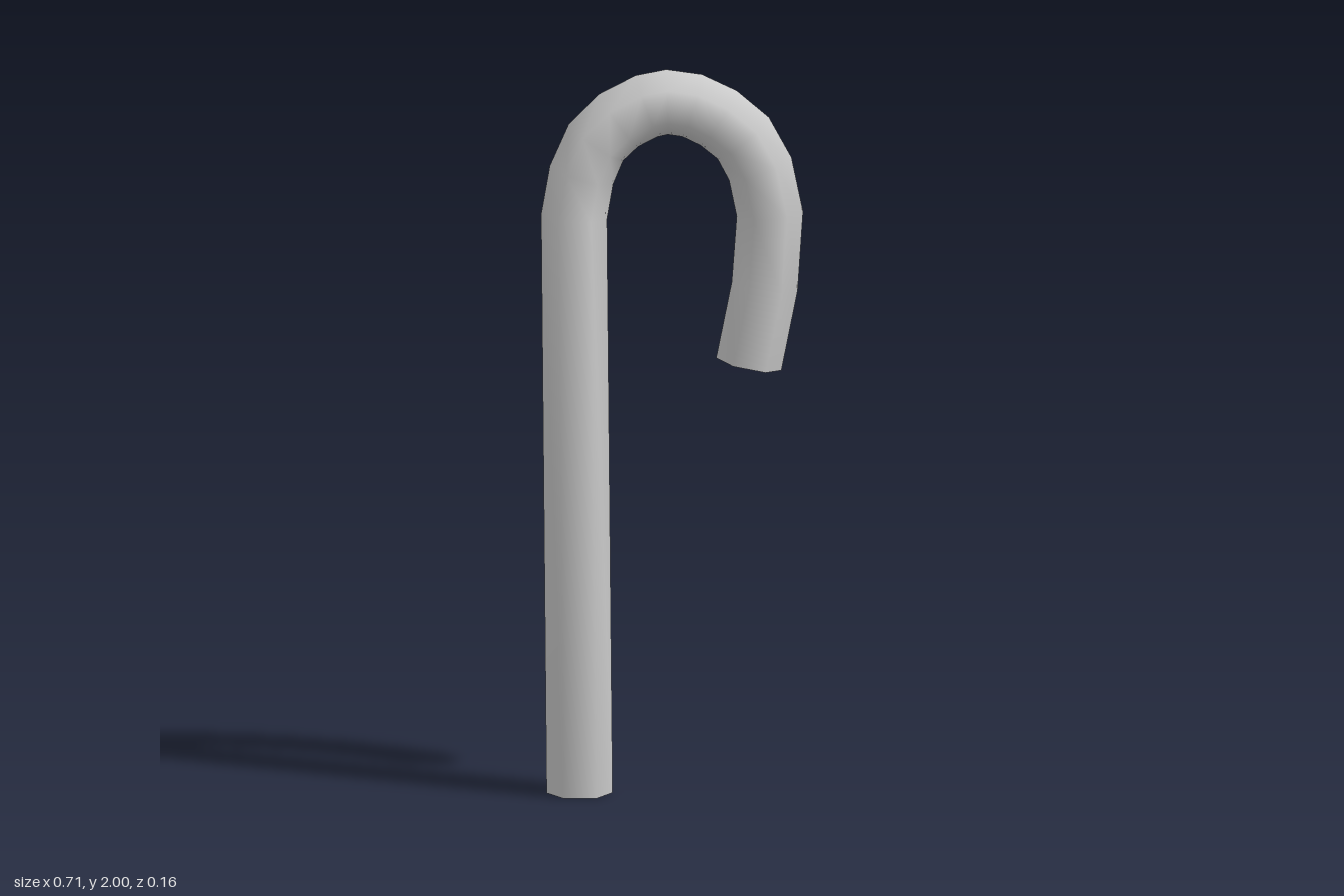
import * as THREE from 'three';

const SIDES = 6;
const RADIUS = 0.09;

// Centre line of the cane, from the foot to the tip of the hook
const PATH = [
  [-0.252, 0, -0.004], [-0.267, 1.595, 0.002], [-0.247, 1.71, 0.003], [-0.208, 1.8, 0.003],
  [-0.146, 1.861, 0.004], [-0.07, 1.9, 0.004], [-0.015, 1.911, 0.004], [0.053, 1.901, 0.004],
  [0.125, 1.866, 0.003], [0.192, 1.81, 0.003], [0.238, 1.725, 0.003], [0.264, 1.6, 0.003],
  [0.25, 1.4, 0.003], [0.207, 1.185, 0.003],
].map(p => new THREE.Vector3(...p));

// Sweeps a hexagon along a path in the xy plane, with flat caps at both ends
function sweepHexagon(path) {
  const zAxis = new THREE.Vector3(0, 0, 1);
  const last = path.length - 1;
  const positions = [];
  const index = [];

  const addRing = i => {
    const start = positions.length / 3;
    const tangent = new THREE.Vector3();
    if (i > 0) tangent.add(path[i].clone().sub(path[i - 1]).normalize());
    if (i < last) tangent.add(path[i + 1].clone().sub(path[i]).normalize());
    if (i === 0) tangent.set(0, 1, 0); // the foot stands flat
    const side = new THREE.Vector3(-tangent.y, tangent.x, 0).normalize();
    for (let j = 0; j < SIDES; j++) {
      const a = (j / SIDES) * Math.PI * 2;
      const v = path[i].clone()
        .addScaledVector(side, RADIUS * Math.cos(a))
        .addScaledVector(zAxis, RADIUS * Math.sin(a));
      positions.push(v.x, v.y, v.z);
    }
    return start;
  };

  // Smooth body
  const rings = path.map((_, i) => addRing(i));
  for (let i = 0; i < last; i++) {
    for (let j = 0; j < SIDES; j++) {
      const k = (j + 1) % SIDES;
      const a = rings[i] + j, b = rings[i] + k;
      const c = rings[i + 1] + j, d = rings[i + 1] + k;
      index.push(a, b, c, b, d, c);
    }
  }

  // Caps have their own vertices, so their edges stay sharp
  const foot = addRing(0);
  const tip = addRing(last);
  for (let j = 1; j < SIDES - 1; j++) {
    index.push(foot, foot + j + 1, foot + j);
    index.push(tip, tip + j, tip + j + 1);
  }

  const geometry = new THREE.BufferGeometry();
  geometry.setAttribute('position', new THREE.Float32BufferAttribute(positions, 3));
  geometry.setIndex(index);
  geometry.computeVertexNormals();
  return geometry;
}

export function createModel() {
  const group = new THREE.Group();
  group.name = 'hookedCane';
  const cane = new THREE.Mesh(
    sweepHexagon(PATH),
    new THREE.MeshStandardMaterial({ color: 0xcccccc })
  );
  cane.name = 'cane';
  group.add(cane);
  return group;
}
